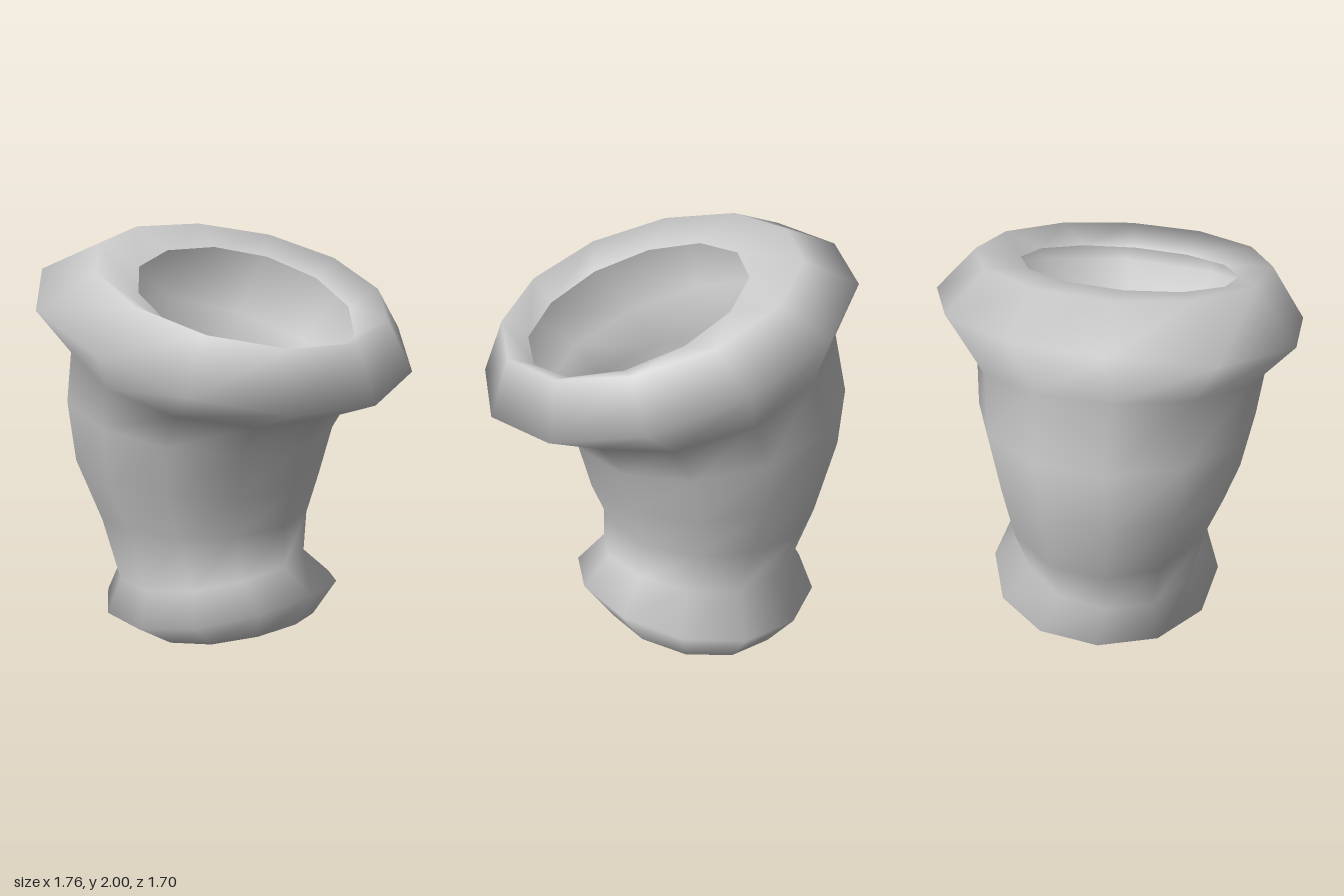
import * as THREE from 'three';

const SIDES = 12;

// Cross-sections from the foot up to the inner lip of the rim.
// Each gives the left end (x, y) at -x, right end (x, y) at +x,
// front end (z, y) and back end (z, y), then an optional front corner bulge.
const RINGS = [
  // open foot
  [-0.57, 0.00, 0.34, 0.12, 0.31, 0.02, -0.52, 0.02],
  [-0.74, 0.15, 0.48, 0.32, 0.51, 0.15, -0.63, 0.18],
  // neck and body
  [-0.66, 0.31, 0.33, 0.44, 0.42, 0.31, -0.47, 0.36],
  [-0.75, 0.58, 0.32, 0.64, 0.48, 0.62, -0.54, 0.62],
  [-0.87, 0.97, 0.40, 0.85, 0.59, 0.88, -0.59, 0.88],
  [-0.88, 1.28, 0.46, 1.08, 0.65, 1.17, -0.65, 1.17],
  [-0.81, 1.61, 0.57, 1.23, 0.69, 1.38, -0.66, 1.40],
  // rolled, tilted rim
  [-0.88, 1.88, 0.88, 1.35, 0.85, 1.57, -0.85, 1.67, 0.08],
  [-0.62, 2.00, 0.78, 1.62, 0.70, 1.79, -0.67, 1.84],
  [-0.38, 1.91, 0.65, 1.55, 0.55, 1.70, -0.47, 1.77],
];

// A tilted, slightly saddle-shaped oval through the four end points
function ringPoint([lx, ly, rx, ry, fz, fy, bz, by, bulge = 0], k) {
  const a = (k / SIDES) * Math.PI * 2;
  const c = Math.cos(a), s = Math.sin(a);
  const grow = 1 + (k === 4 || k === 5 ? bulge : 0);
  const x = (lx + rx) / 2 + ((rx - lx) / 2) * c * grow;
  const z = (fz + bz) / 2 + ((fz - bz) / 2) * s * grow;
  const y = (ly + ry + fy + by) / 4 + ((ry - ly) / 2) * c + ((fy - by) / 2) * s
    + ((ly + ry - fy - by) / 4) * Math.cos(2 * a);
  return [x, Math.max(0, y), z];
}

// Joins neighbouring rings into one smooth open shell
function loft(rings) {
  const positions = [], index = [];
  rings.forEach((ring, j) => {
    for (let k = 0; k < SIDES; k++) {
      positions.push(...ringPoint(ring, k));
      if (j === rings.length - 1) continue;
      const next = (k + 1) % SIDES;
      const a = j * SIDES + k, b = j * SIDES + next;
      const c = a + SIDES, d = b + SIDES;
      index.push(a, c, b, b, c, d);
    }
  });
  const geometry = new THREE.BufferGeometry();
  geometry.setAttribute('position', new THREE.Float32BufferAttribute(positions, 3));
  geometry.setIndex(index);
  geometry.computeVertexNormals();
  return geometry;
}

export function createModel() {
  const group = new THREE.Group();
  group.name = 'flaredSleeve';
  const material = new THREE.MeshStandardMaterial({ color: 0xcccccc, side: THREE.DoubleSide });
  const shell = new THREE.Mesh(loft(RINGS), material);
  shell.name = 'sleeveShell';
  group.add(shell);
  return group;
}
